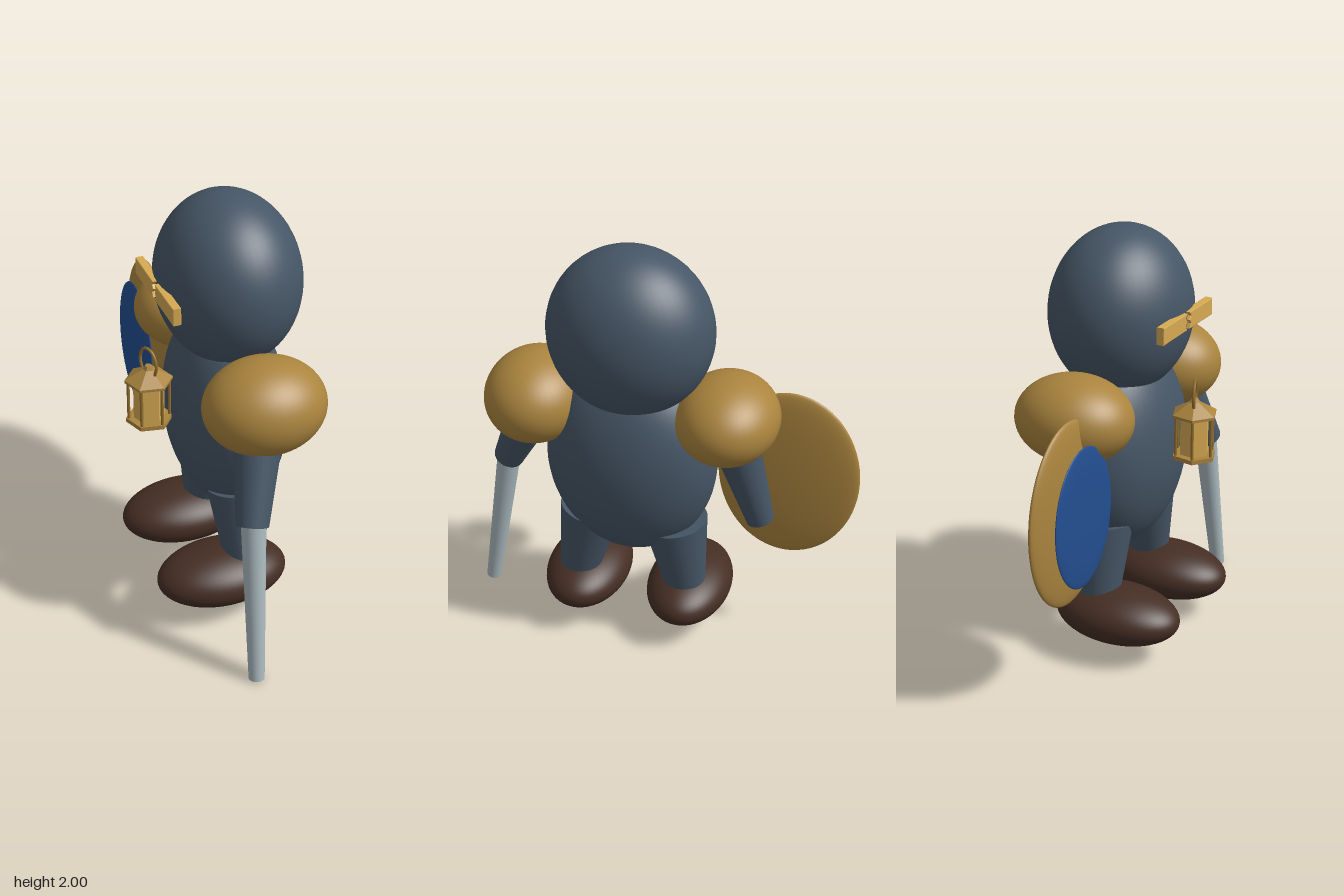
import * as THREE from 'three';

const TURN = -0.35; // the figure is turned slightly to its right

export function createModel() {
  const group = new THREE.Group();
  const paint = (name, color) => {
    const m = new THREE.MeshStandardMaterial({ color });
    m.name = name;
    return m;
  };
  const steel = paint('slate steel', 0x465666);
  const brass = paint('brass', 0xaa843e);
  const brightBrass = paint('bright brass', 0xd6aa52);
  const darkBrass = paint('dark brass', 0x94702f);
  const blue = paint('shield blue', 0x234e90);
  const silver = paint('silver', 0xaab9be);
  const leather = paint('boot leather', 0x452e24);

  const add = (name, geometry, material, parent = group) => {
    const mesh = new THREE.Mesh(geometry, material);
    mesh.name = name;
    parent.add(mesh);
    return mesh;
  };

  // Ellipsoid turned with the figure
  const ellipsoid = (name, material, pos, radii) => {
    const geo = new THREE.SphereGeometry(1, 48, 32);
    geo.scale(...radii);
    const mesh = add(name, geo, material);
    mesh.position.set(...pos);
    mesh.rotation.y = TURN;
    return mesh;
  };

  // Tapered cylinder from point a to point b
  const limb = (name, material, a, b, ra, rb, parent = group, sides = 32) => {
    const from = new THREE.Vector3(...a);
    const to = new THREE.Vector3(...b);
    const dir = to.clone().sub(from);
    const mesh = add(name, new THREE.CylinderGeometry(rb, ra, dir.length(), sides), material, parent);
    mesh.position.copy(from).add(to).multiplyScalar(0.5);
    mesh.quaternion.setFromUnitVectors(new THREE.Vector3(0, 1, 0), dir.normalize());
    return mesh;
  };

  // Head and body
  ellipsoid('head', steel, [0.14, 1.61, -0.04], [0.376, 0.39, 0.32]);
  ellipsoid('body', steel, [0.14, 0.96, -0.03], [0.398, 0.49, 0.266]);

  // Shoulders
  ellipsoid('leftShoulder', brass, [0.56, 1.22, 0.115], [0.235, 0.21, 0.274]);
  ellipsoid('rightShoulder', brass, [-0.275, 1.235, -0.19], [0.235, 0.197, 0.274]);

  // Arms and sword
  limb('leftArm', steel, [0.54, 1.22, 0.126], [0.71, 0.76, 0.31], 0.122, 0.072);
  limb('rightArm', steel, [-0.275, 1.235, -0.19], [-0.44, 0.67, -0.18], 0.12, 0.065);
  limb('swordBlade', silver, [0.705, 0.8, 0.3], [0.825, 0.005, 0.37], 0.056, 0.036);

  // Legs and boots
  limb('leftLeg', steel, [0.325, 0.64, 0.04], [0.4, 0.24, 0.065], 0.15, 0.088);
  limb('rightLeg', steel, [-0.052, 0.64, -0.11], [-0.105, 0.24, -0.115], 0.152, 0.092);
  ellipsoid('leftBoot', leather, [0.342, 0.203, 0.155], [0.2, 0.132, 0.31]);
  ellipsoid('rightBoot', leather, [-0.135, 0.203, -0.02], [0.2, 0.132, 0.31]);

  // Shield: a lens with a smaller lens in front of it
  ellipsoid('shieldRim', brass, [-0.563, 0.905, -0.17], [0.327, 0.427, 0.045]);
  ellipsoid('shieldFace', blue, [-0.59, 0.905, -0.1], [0.24, 0.325, 0.02]);

  // Visor: two bars with notched inner ends
  const visor = new THREE.Group();
  visor.name = 'visor';
  visor.position.set(0.14, 1.602, -0.04);
  visor.rotation.y = TURN;
  group.add(visor);
  for (const side of [1, -1]) {
    const outline = [[0.24, -0.036], [0.24, 0.036], [0.016, 0.036], [0.032, 0.018],
      [0.016, 0.002], [0.03, -0.016], [0.018, -0.036]];
    const shape = new THREE.Shape(outline.map(([x, y]) => new THREE.Vector2(side * x, y)));
    const geo = new THREE.ExtrudeGeometry(shape, {
      depth: 0.03, bevelEnabled: true, bevelSize: 0.004, bevelThickness: 0.004, bevelSegments: 2,
    });
    geo.translate(0, 0, 0.303);
    add(side > 0 ? 'leftVisorBar' : 'rightVisorBar', geo, brightBrass, visor);
  }

  // Six-sided lantern on the chest
  const lantern = new THREE.Group();
  lantern.name = 'lantern';
  lantern.position.set(0.02, 0.955, 0.31);
  group.add(lantern);
  const hex = (name, material, rTop, rBottom, y0, y1) => {
    const geo = new THREE.CylinderGeometry(rTop, rBottom, y1 - y0, 6).toNonIndexed();
    geo.computeVertexNormals();
    geo.rotateY(Math.PI / 6);
    geo.translate(0, (y0 + y1) / 2, 0);
    add(name, geo, material, lantern);
  };
  hex('lanternBase', brass, 0.105, 0.105, 0, 0.02);
  hex('lanternGlass', brightBrass, 0.07, 0.07, 0.02, 0.21);
  hex('lanternEaves', brass, 0.108, 0.108, 0.205, 0.217);
  hex('lanternRoof', brass, 0.025, 0.108, 0.217, 0.268);
  hex('lanternCap', brass, 0.016, 0.025, 0.268, 0.285);
  for (let i = 0; i < 6; i++) {
    const a = (i * Math.PI) / 3;
    const x = 0.092 * Math.cos(a);
    const z = 0.092 * Math.sin(a);
    limb('lanternPost', darkBrass, [x, 0.01, z], [x, 0.21, z], 0.007, 0.007, lantern, 10);
  }
  const handlePath = new THREE.CatmullRomCurve3([
    [-0.04, 0.24], [-0.056, 0.3], [-0.036, 0.352], [0, 0.368],
    [0.036, 0.352], [0.056, 0.3], [0.04, 0.24],
  ].map(([x, y]) => new THREE.Vector3(x, y, 0)));
  add('lanternHandle', new THREE.TubeGeometry(handlePath, 32, 0.007, 8), darkBrass, lantern);

  return group;
}
